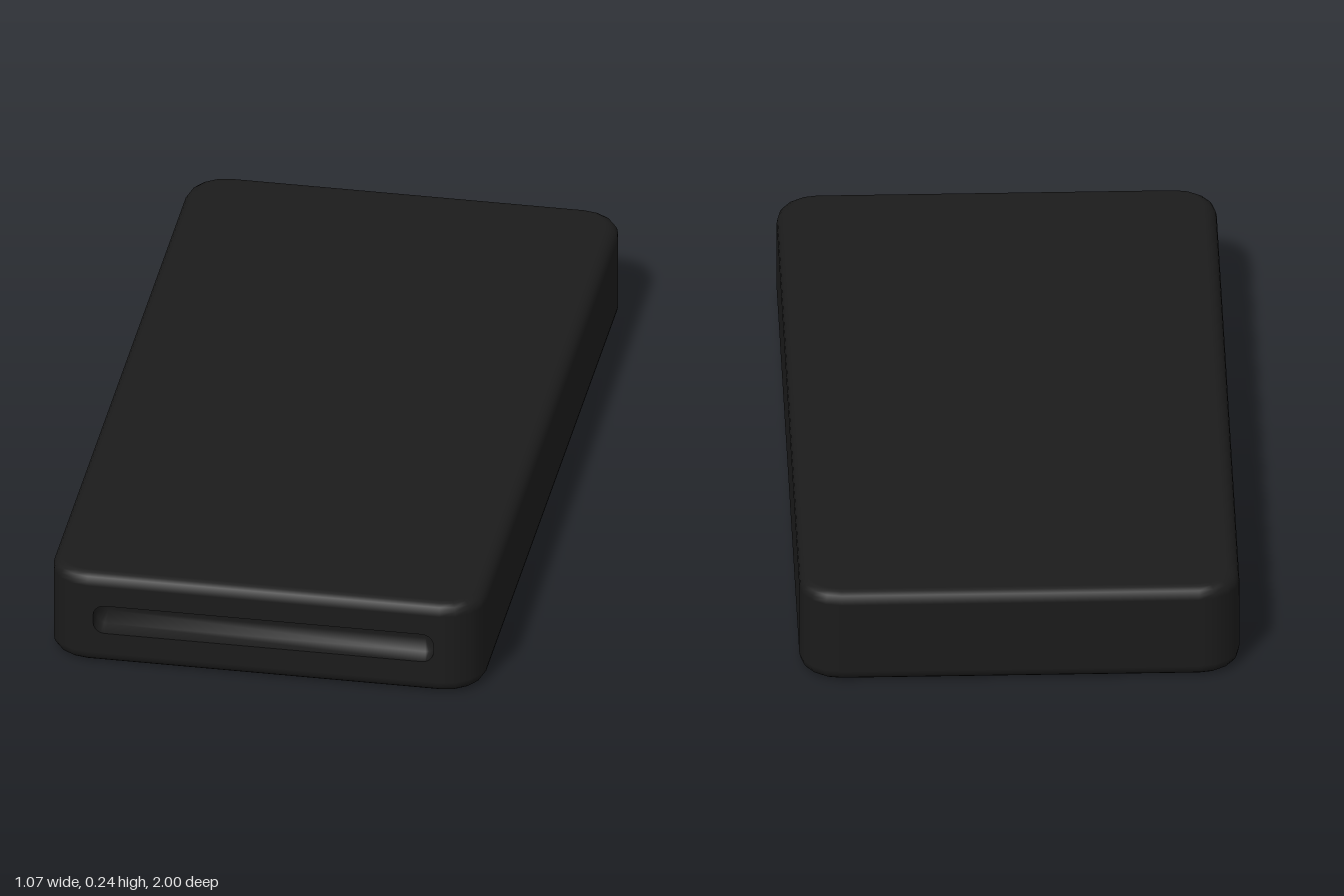
import * as THREE from 'three';
import { mergeVertices } from 'three/addons/utils/BufferGeometryUtils.js';

const HALF_W = 0.535, HALF_L = 1, HEIGHT = 0.244;
const CORNER = 0.1, BEVEL = 0.03, CORNER_STEPS = 4, BEVEL_STEPS = 4;
const SLOT = { y: 0.123, halfW: 0.42, halfH: 0.038, radius: 0.028, depth: 0.05, steps: 5 };

// Rounded slab from stacked rings; the flat front panel is left open for the slot
function shellGeometry() {
  const rows = [{ flat: -1, y: 0 }];
  for (const top of [false, true]) {
    for (let j = 0; j <= BEVEL_STEPS; j++) {
      const t = j / BEVEL_STEPS * Math.PI / 2;
      const a = top ? t : t - Math.PI / 2;
      const centre = top ? HEIGHT - BEVEL : BEVEL;
      rows.push({ a, y: centre + BEVEL * Math.sin(a) });
    }
  }
  rows.push({ flat: 1, y: HEIGHT });

  const pos = [], nor = [], index = [];
  const count = 4 * (CORNER_STEPS + 1);
  for (const row of rows) {
    for (let k = 0; k < 4; k++) {
      for (let j = 0; j <= CORNER_STEPS; j++) {
        if (row.flat) {
          pos.push(0, row.y, 0);
          nor.push(0, row.flat, 0);
          continue;
        }
        const th = (k + j / CORNER_STEPS) * Math.PI / 2;
        const dx = Math.cos(th), dz = Math.sin(th), c = Math.cos(row.a);
        const sx = k === 0 || k === 3 ? 1 : -1, sz = k < 2 ? 1 : -1;
        const r = CORNER - BEVEL * (1 - c);
        pos.push(sx * (HALF_W - CORNER) + r * dx, row.y, sz * (HALF_L - CORNER) + r * dz);
        nor.push(dx * c, Math.sin(row.a), dz * c);
      }
    }
  }
  const sideRow = BEVEL_STEPS + 1;
  for (let r = 0; r < rows.length - 1; r++) {
    for (let i = 0; i < count; i++) {
      if (r === sideRow && i === CORNER_STEPS) continue; // front panel opening
      const a = r * count + i, b = r * count + (i + 1) % count;
      index.push(a, a + count, b, b, a + count, b + count);
    }
  }
  const g = new THREE.BufferGeometry();
  g.setAttribute('position', new THREE.Float32BufferAttribute(pos, 3));
  g.setAttribute('normal', new THREE.Float32BufferAttribute(nor, 3));
  g.setIndex(index);
  return g;
}

// Rounded slot outline, counter-clockwise from the front; size 0 shrinks it to its centre line
function slotOutline(size) {
  const pts = [], r = SLOT.radius;
  for (let k = 0; k < 4; k++) {
    const sx = k === 0 || k === 3 ? 1 : -1, sy = k < 2 ? 1 : -1;
    for (let j = 0; j <= SLOT.steps; j++) {
      const t = (k + j / SLOT.steps) * Math.PI / 2;
      pts.push(new THREE.Vector2(
        sx * (SLOT.halfW - r) + size * r * Math.cos(t),
        SLOT.y + size * (sy * (SLOT.halfH - r) + r * Math.sin(t))));
    }
  }
  return pts;
}

// Flat front panel with the slot cut out
function panelGeometry() {
  const x = HALF_W - CORNER, y0 = BEVEL, y1 = HEIGHT - BEVEL;
  const shape = new THREE.Shape([[-x, y0], [x, y0], [x, y1], [-x, y1]]
    .map(([px, py]) => new THREE.Vector2(px, py)));
  shape.holes.push(new THREE.Path(slotOutline(1)));
  return new THREE.ShapeGeometry(shape).translate(0, 0, HALF_L);
}

// Recess behind the opening: straight walls, then a smoothly shaded back
function recessGeometry() {
  const rings = [[1, 0], [1, SLOT.depth], [0, SLOT.depth]];
  const pos = [], index = [], count = 4 * (SLOT.steps + 1);
  for (const [size, depth] of rings) {
    for (const p of slotOutline(size)) pos.push(p.x, p.y, HALF_L - depth);
  }
  for (let r = 0; r < rings.length - 1; r++) {
    for (let i = 0; i < count; i++) {
      const a = r * count + i, b = r * count + (i + 1) % count;
      index.push(a, b, a + count, b, b + count, a + count);
    }
  }
  const g = new THREE.BufferGeometry();
  g.setAttribute('position', new THREE.Float32BufferAttribute(pos, 3));
  g.setIndex(index);
  const merged = mergeVertices(g);
  merged.computeVertexNormals();
  return merged;
}

export function createModel() {
  const black = new THREE.MeshStandardMaterial({ color: 0x1b1b1b });
  black.name = 'matte black';
  const group = new THREE.Group();
  group.name = 'slottedCase';
  const add = (name, geometry) => {
    const mesh = new THREE.Mesh(geometry, black);
    mesh.name = name;
    group.add(mesh);
  };
  add('caseShell', shellGeometry());
  add('frontPanel', panelGeometry());
  add('frontSlot', recessGeometry());
  return group;
}
